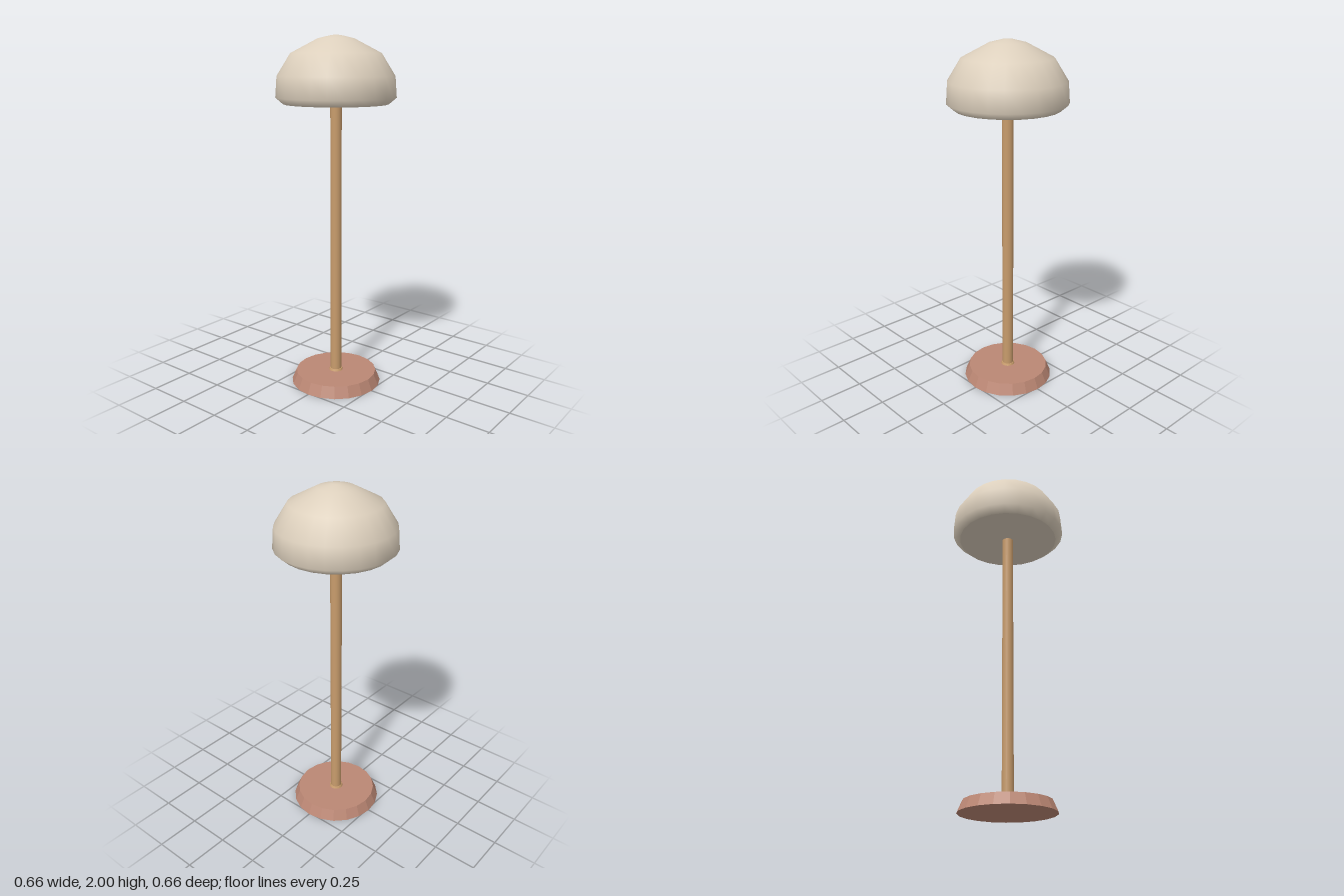
import * as THREE from 'three';

const mat = (name, color, opts = {}) => {
  const m = new THREE.MeshStandardMaterial({ color, ...opts });
  m.name = name;
  return m;
};

export function createModel() {
  const lamp = new THREE.Group();
  lamp.name = 'lamp';
  const cream = mat('cream', 0xdccfbc);
  const wood = mat('wood', 0xc89c6c);
  const clay = mat('clay', 0xbb8774, { flatShading: true });

  const add = (name, geometry, material, y) => {
    const mesh = new THREE.Mesh(geometry, material);
    mesh.name = name;
    mesh.position.y = y;
    lamp.add(mesh);
    return mesh;
  };

  // Faceted tapered foot
  add('base', new THREE.CylinderGeometry(0.235, 0.262, 0.063, 20), clay, 0.0315);

  // Small ring where the pole meets the foot
  add('collar', new THREE.CylinderGeometry(0.036, 0.041, 0.012, 16), wood, 0.068);

  // Pole
  add('pole', new THREE.CylinderGeometry(0.032, 0.032, 1.59, 16), wood, 0.855);

  // Smooth domed shade, listed from the lower rim to the crown
  const profile = [
    [0.29, 1.634], [0.332, 1.67], [0.323, 1.785], [0.248, 1.905],
    [0.1, 1.982], [0.025, 2], [0, 2],
  ].map(([r, y]) => new THREE.Vector2(r, y));
  add('shade', new THREE.LatheGeometry(profile, 24), cream, 0);

  // Flat underside closing the shade, aligned with the lathe's corners
  const underside = add('shadeUnderside', new THREE.CircleGeometry(0.29, 24), cream, 1.634);
  underside.rotation.x = Math.PI / 2;

  return lamp;
}
